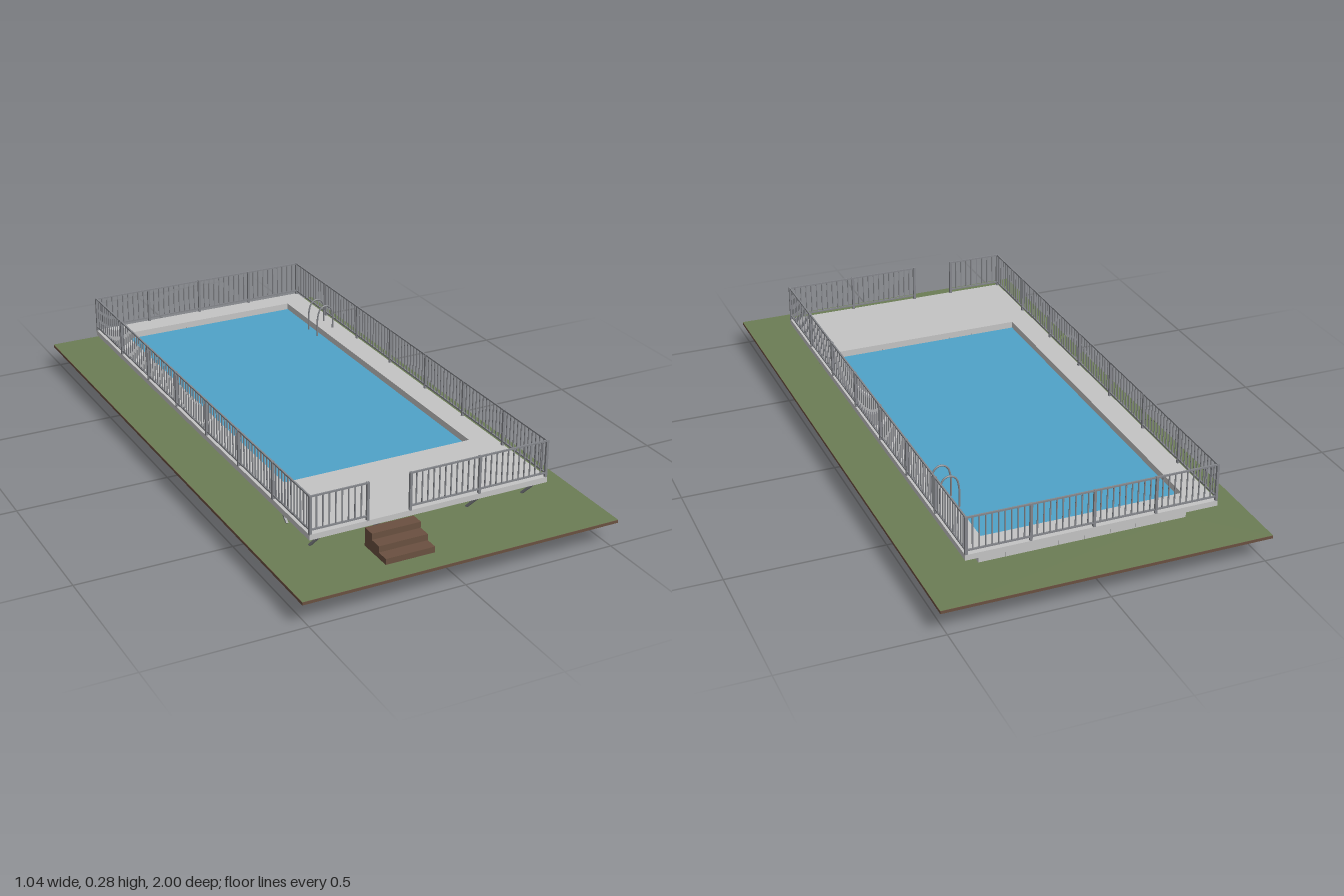
import * as THREE from 'three';

const mat = (name, color, side = THREE.FrontSide) => {
  const m = new THREE.MeshStandardMaterial({ color, side });
  m.name = name;
  return m;
};

export function createModel() {
  const grass = mat('grass', 0x6c7d55);
  const wood = mat('brown wood and soil', 0x6a5040);
  const concrete = mat('light grey', 0xc4c4c4);
  const metal = mat('grey metal', 0x85878c);
  const water = mat('water blue', 0x4fa2c8, THREE.DoubleSide);
  const liner = mat('deep blue', 0x2d66a0, THREE.DoubleSide);

  const model = new THREE.Group();
  model.name = 'raisedPool';
  const group = (name) => {
    const g = new THREE.Group();
    g.name = name;
    model.add(g);
    return g;
  };
  const add = (parent, name, geo, material) => {
    const m = new THREE.Mesh(geo, material);
    m.name = name;
    parent.add(m);
    return m;
  };
  // Box given by its minimum and maximum corners
  const box = (parent, name, material, x0, x1, y0, y1, z0, z1) => {
    const m = add(parent, name, new THREE.BoxGeometry(x1 - x0, y1 - y0, z1 - z0), material);
    m.position.set((x0 + x1) / 2, (y0 + y1) / 2, (z0 + z1) / 2);
    return m;
  };
  // Square bar between two points
  const bar = (parent, name, material, a, b, t) => {
    const p = new THREE.Vector3(...a), q = new THREE.Vector3(...b);
    const m = add(parent, name, new THREE.BoxGeometry(t, t, p.distanceTo(q)), material);
    m.position.copy(p).add(q).multiplyScalar(0.5);
    m.lookAt(q);
    return m;
  };

  // Pool opening, shared by ground, deck and water
  const PX = 0.32, PZ0 = -0.8, PZ1 = 0.48;
  const rect = (T, x, z0, z1) => new T([[-x, -z1], [x, -z1], [x, -z0], [-x, -z0]].map((p) => new THREE.Vector2(...p)));
  const frame = (x, z0, z1) => {
    const s = rect(THREE.Shape, x, z0, z1);
    s.holes.push(rect(THREE.Path, PX, PZ0, PZ1));
    return s;
  };
  const slab = (name, material, shape, y0, y1) => {
    const geo = new THREE.ExtrudeGeometry(shape, { depth: y1 - y0, bevelEnabled: false });
    add(model, name, geo.rotateX(-Math.PI / 2), material).position.y = y0;
  };
  const sheet = (name, material, shape, y) => {
    add(model, name, new THREE.ShapeGeometry(shape).rotateX(-Math.PI / 2), material).position.y = y;
  };

  // Ground, deck, water and pool floor
  const G = 0.082, D0 = 0.144, D1 = 0.162;
  const DX = 0.398, DZ0 = -0.878, DZ1 = 0.8;
  slab('soil', wood, frame(0.52, -1, 1), 0.073, G);
  sheet('lawn', grass, frame(0.52, -1, 1), G + 0.001);
  slab('deck', concrete, frame(DX, DZ0, DZ1), D0, D1);
  sheet('water', water, rect(THREE.Shape, PX, PZ0, PZ1), 0.14);
  sheet('poolFloor', liner, rect(THREE.Shape, PX, PZ0, PZ1), 0);

  // Pool walls: long sides, and panelled ends with narrow joints
  const walls = group('poolWalls');
  const WX = 0.332;
  for (const s of [-1, 1]) {
    const x = s * (PX + WX) / 2, h = (WX - PX) / 2;
    box(walls, 'sideWall', concrete, x - h, x + h, 0.075, D0, PZ0 - 0.012, PZ1 + 0.012);
  }
  for (const z of [PZ0 - 0.012, PZ1]) {
    for (let i = 0; i < 8; i++) {
      const x = -WX + i * WX / 4;
      box(walls, 'endPanel', concrete, x, x + WX / 4 - 0.001, 0.075, D0, z, z + 0.012);
    }
  }

  // Braces under the deck
  const braces = group('deckBraces');
  for (const s of [-1, 1]) {
    for (let i = 0; i < 9; i++) {
      const z = 0.475 - i * 0.1575;
      bar(braces, 'sideBrace', metal, [s * WX, 0.118, z], [s * 0.366, D0, z], 0.006);
    }
  }
  for (const x of [-0.36, -0.165, 0.165, 0.36]) {
    bar(braces, 'frontBrace', metal, [x, D0, 0.79], [x, G, 0.725], 0.007);
    bar(braces, 'innerBrace', metal, [x, D0, 0.515], [x, G, 0.58], 0.007);
  }
  for (const x of [-0.25, -0.083, 0.083, 0.25]) {
    bar(braces, 'backBrace', metal, [x, 0.118, -0.812], [x, D0, -0.85], 0.006);
  }

  // Railing: runs of equal bays with posts, two rails and balusters
  const railing = group('railing');
  const TOP = 0.281, LOW = 0.175;
  const upright = (name, x, z, y0, y1, t) => box(railing, name, metal, x - t / 2, x + t / 2, y0, y1, z - t / 2, z + t / 2);
  const run = (x0, z0, x1, z1, bays) => {
    const length = Math.hypot(x1 - x0, z1 - z0);
    const perBay = Math.round(length / bays / 0.02);
    const n = bays * perBay;
    for (let i = 0; i <= n; i++) {
      const x = x0 + (x1 - x0) * i / n, z = z0 + (z1 - z0) * i / n;
      if (i % perBay === 0) upright('post', x, z, D1 - 0.002, TOP + 0.003, 0.008);
      else upright('baluster', x, z, LOW, TOP, 0.0035);
    }
    for (const y of [LOW, TOP]) bar(railing, 'rail', metal, [x0, y, z0], [x1, y, z1], 0.005);
  };
  const FX = DX - 0.004, FZ0 = DZ0 + 0.004, FZ1 = DZ1 - 0.004;
  for (const s of [-1, 1]) run(s * FX, FZ1, s * FX, FZ0, 7);
  run(-FX, FZ0, FX, FZ0, 4);
  run(-FX, FZ1, -0.21, FZ1, 1);
  run(-0.07, FZ1, FX, FZ1, 2);

  // Entry steps
  const steps = group('steps');
  for (let i = 0; i < 3; i++) {
    const z = 0.8 + (2 - i) * 0.0415;
    box(steps, 'step', wood, -0.22, -0.06, G, 0.102 + i * 0.02, z, z + 0.0415);
  }

  // Pool ladder: two bent rails and rungs
  const ladder = group('ladder');
  const path = [[0.363, D1], [0.363, 0.21], [0.354, 0.239], [0.334, 0.249], [0.314, 0.239],
    [0.304, 0.21], [0.303, 0.12], [0.303, 0.04], [0.306, 0.023], [0.314, 0.018]];
  for (const z of [-0.592, -0.524]) {
    const curve = new THREE.CatmullRomCurve3(path.map(([x, y]) => new THREE.Vector3(x, y, z)));
    add(ladder, 'ladderRail', new THREE.TubeGeometry(curve, 48, 0.003, 8), metal);
  }
  for (const y of [0.055, 0.09, 0.125]) {
    box(ladder, 'rung', metal, 0.295, 0.311, y - 0.002, y + 0.002, -0.592, -0.524);
  }

  return model;
}
